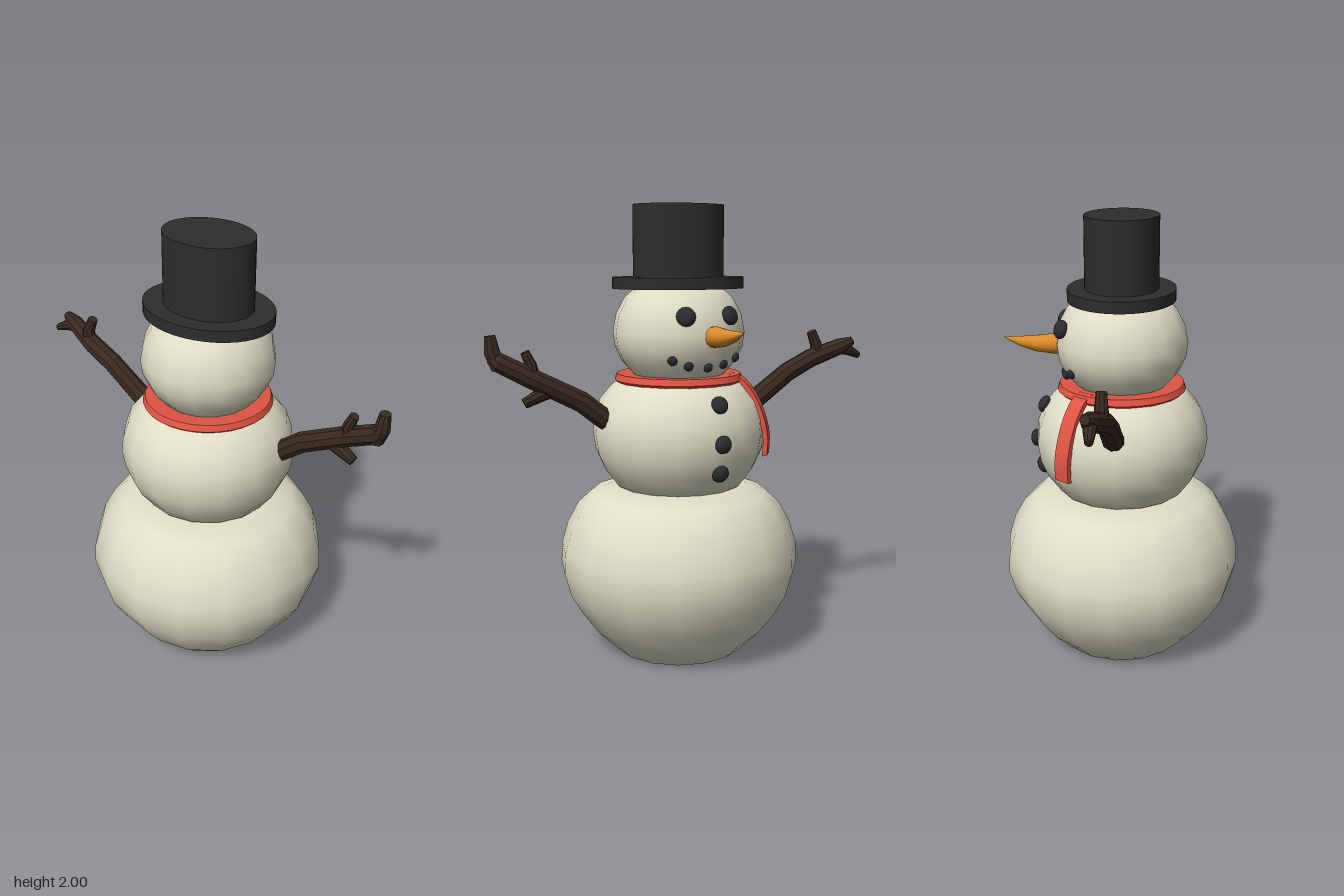
import * as THREE from 'three';
import { toCreasedNormals } from 'three/addons/utils/BufferGeometryUtils.js';

const CZ = 0.033; // z of the body axis
const V2 = (p) => new THREE.Vector2(...p);
const V3 = (p) => new THREE.Vector3(...p);

function material(name, color, flatShading = false) {
  const m = new THREE.MeshStandardMaterial({ color, flatShading });
  m.name = name;
  return m;
}

// Tapered limb: rings of given radii along a path, closed at both ends.
function limb(path, radii, sides, ref) {
  const pts = path.map(V3), pos = [], idx = [];
  pts.forEach((p, i) => {
    const t = pts[Math.min(i + 1, pts.length - 1)].clone().sub(pts[Math.max(i - 1, 0)]).normalize();
    const u = ref.clone().addScaledVector(t, -ref.dot(t)).normalize();
    const v = t.clone().cross(u);
    for (let j = 0; j < sides; j++) {
      const a = (j / sides) * Math.PI * 2;
      const q = p.clone().addScaledVector(u, radii[i] * Math.cos(a)).addScaledVector(v, radii[i] * Math.sin(a));
      pos.push(q.x, q.y, q.z);
    }
  });
  const last = (pts.length - 1) * sides, c0 = pts.length * sides, c1 = c0 + 1;
  pos.push(...pts[0].toArray(), ...pts[pts.length - 1].toArray());
  for (let j = 0; j < sides; j++) {
    const k = (j + 1) % sides;
    for (let i = 0; i < last; i += sides) {
      idx.push(i + j, i + k, i + sides + j, i + k, i + sides + k, i + sides + j);
    }
    idx.push(c0, k, j, c1, last + j, last + k);
  }
  const g = new THREE.BufferGeometry();
  g.setAttribute('position', new THREE.Float32BufferAttribute(pos, 3));
  g.setIndex(idx);
  g.computeVertexNormals();
  return g;
}

export function createModel() {
  const model = new THREE.Group();
  model.name = 'snowman';
  const snow = material('snow', 0xe0dec6);
  const felt = material('black felt', 0x2d2d2d);
  const coal = material('coal', 0x2b2d30);
  const wood = material('bark', 0x3a2a20, true);
  const carrot = material('carrot', 0xdc8c2a);
  const wool = material('red wool', 0xdf5443);

  const add = (name, geometry, mat, parent = model) => {
    const m = new THREE.Mesh(geometry, mat);
    m.name = name;
    parent.add(m);
    return m;
  };

  // Snowballs: profiles of [radius, y]
  const balls = {
    lowerBody: [[0, 0], [0.3, 0], [0.39, 0.09], [0.46, 0.185], [0.515, 0.28], [0.545, 0.39],
      [0.54, 0.48], [0.51, 0.58], [0.46, 0.67], [0.4, 0.725], [0.3, 0.76], [0, 0.77]],
    upperBody: [[0, 0.72], [0.23, 0.725], [0.29, 0.77], [0.345, 0.845], [0.378, 0.92], [0.39, 1.0],
      [0.383, 1.07], [0.355, 1.15], [0.3, 1.215], [0.25, 1.245], [0, 1.26]],
    head: [[0, 1.2], [0.13, 1.22], [0.2, 1.258], [0.255, 1.32], [0.285, 1.385], [0.293, 1.45],
      [0.278, 1.53], [0.24, 1.6], [0.19, 1.645], [0, 1.66]],
  };
  for (const [name, profile] of Object.entries(balls)) {
    add(name, new THREE.LatheGeometry(profile.map(V2), 16), snow).position.z = CZ;
  }

  // Oval top hat
  const hat = new THREE.Group();
  hat.name = 'topHat';
  hat.position.z = CZ;
  model.add(hat);
  for (const [name, rx, rz, y0, y1] of [['hatBrim', 0.237, 0.298, 1.64, 1.69], ['hatCrown', 0.162, 0.205, 1.69, 2]]) {
    const g = new THREE.CylinderGeometry(1, 1, 1, 40);
    g.scale(rx, y1 - y0, rz);
    g.translate(0, (y0 + y1) / 2, 0);
    add(name, g, felt, hat);
  }

  // Scarf: collar ring and a tail hanging over the upper body
  const collar = [[0.17, 1.23], [0.272, 1.227], [0.287, 1.24], [0.277, 1.267], [0.17, 1.262]];
  add('scarfCollar', toCreasedNormals(new THREE.LatheGeometry(collar.map(V2), 32), 0.6), wool).position.z = CZ;
  const outer = new THREE.SplineCurve([[0.24, 1.268], [0.29, 1.25], [0.345, 1.185], [0.385, 1.1],
    [0.41, 1.0], [0.408, 0.91]].map(V2)).getPoints(12);
  const inner = outer.map((p) => new THREE.Vector2(p.x - 0.022, p.y - 0.006)).reverse();
  const tailGeo = new THREE.ExtrudeGeometry(new THREE.Shape([...outer, ...inner]),
    { depth: 0.074, bevelEnabled: false });
  tailGeo.translate(0, 0, -0.037);
  const tail = add('scarfTail', toCreasedNormals(tailGeo, 0.6), wool);
  tail.position.z = CZ;
  tail.rotation.y = 0.98;

  // Carrot nose, curving up slightly
  add('nose', limb([[0.22, 1.44, -0.012], [0.3, 1.445, -0.018], [0.37, 1.447, -0.028], [0.44, 1.458, -0.038],
    [0.51, 1.477, -0.048]], [0.045, 0.045, 0.036, 0.022, 0.001], 14, new THREE.Vector3(0, 1, 0)), carrot);

  // Coal lumps, flattened against the surface of each ball: x, y, z, radius, ball centre height
  const lump = (name, x, y, z, r, cy) => {
    const m = add(name, new THREE.SphereGeometry(r, 12, 8), coal);
    m.position.set(x, y, z);
    m.lookAt(2 * x, 2 * y - cy, 2 * z - CZ);
    m.scale.z = 0.65;
  };
  lump('leftEye', 0.25, 1.53, -0.103, 0.042, 1.44);
  lump('rightEye', 0.264, 1.53, 0.105, 0.042, 1.44);
  [[0.243, 1.345, 0.158], [0.258, 1.32, 0.09], [0.25, 1.31, -0.003], [0.235, 1.32, -0.082], [0.202, 1.345, -0.154]]
    .forEach((p, i) => lump('mouthCoal' + (i + 1), ...p, 0.021, 1.44));
  [[0.345, 1.163], [0.385, 1.0], [0.358, 0.868]]
    .forEach(([x, y], i) => lump('button' + (i + 1), x, y, -0.015, 0.039, 1.0));

  // Stick arms with twigs
  const sideways = new THREE.Vector3(1, 0, 0);
  const arms = {
    rightArm: [
      [[[0.04, 1.06, 0.35], [0.04, 1.085, 0.4], [0.04, 1.165, 0.5], [0.04, 1.262, 0.69], [0.012, 1.345, 0.845],
        [0, 1.365, 0.87]], [0.046, 0.046, 0.046, 0.044, 0.042, 0.03]],
      [[[0.01, 1.32, 0.84], [0.002, 1.385, 0.868], [0, 1.455, 0.875]], [0.036, 0.034, 0.024]],
      [[[0.035, 1.27, 0.705], [0.025, 1.33, 0.712], [0.022, 1.385, 0.735]], [0.032, 0.026, 0.02]],
      [[[0.04, 1.23, 0.61], [0.035, 1.2, 0.68], [0.03, 1.168, 0.745]], [0.034, 0.03, 0.022]],
    ],
    leftArm: [
      [[[0, 1.1, -0.29], [0, 1.13, -0.36], [0, 1.245, -0.52], [0.003, 1.305, -0.64], [0.04, 1.36, -0.78],
        [0.05, 1.385, -0.835]], [0.048, 0.047, 0.045, 0.044, 0.038, 0.02]],
      [[[0.035, 1.355, -0.75], [0.035, 1.34, -0.82], [0.03, 1.312, -0.882]], [0.03, 0.026, 0.016]],
      [[[0.005, 1.3, -0.67], [0.01, 1.37, -0.662], [0.012, 1.43, -0.635]], [0.032, 0.028, 0.022]],
    ],
  };
  for (const [name, limbs] of Object.entries(arms)) {
    const arm = new THREE.Group();
    arm.name = name;
    model.add(arm);
    limbs.forEach(([path, radii], i) => add(i ? 'twig' + i : 'stick', limb(path, radii, 9, sideways), wood, arm));
  }

  return model;
}
